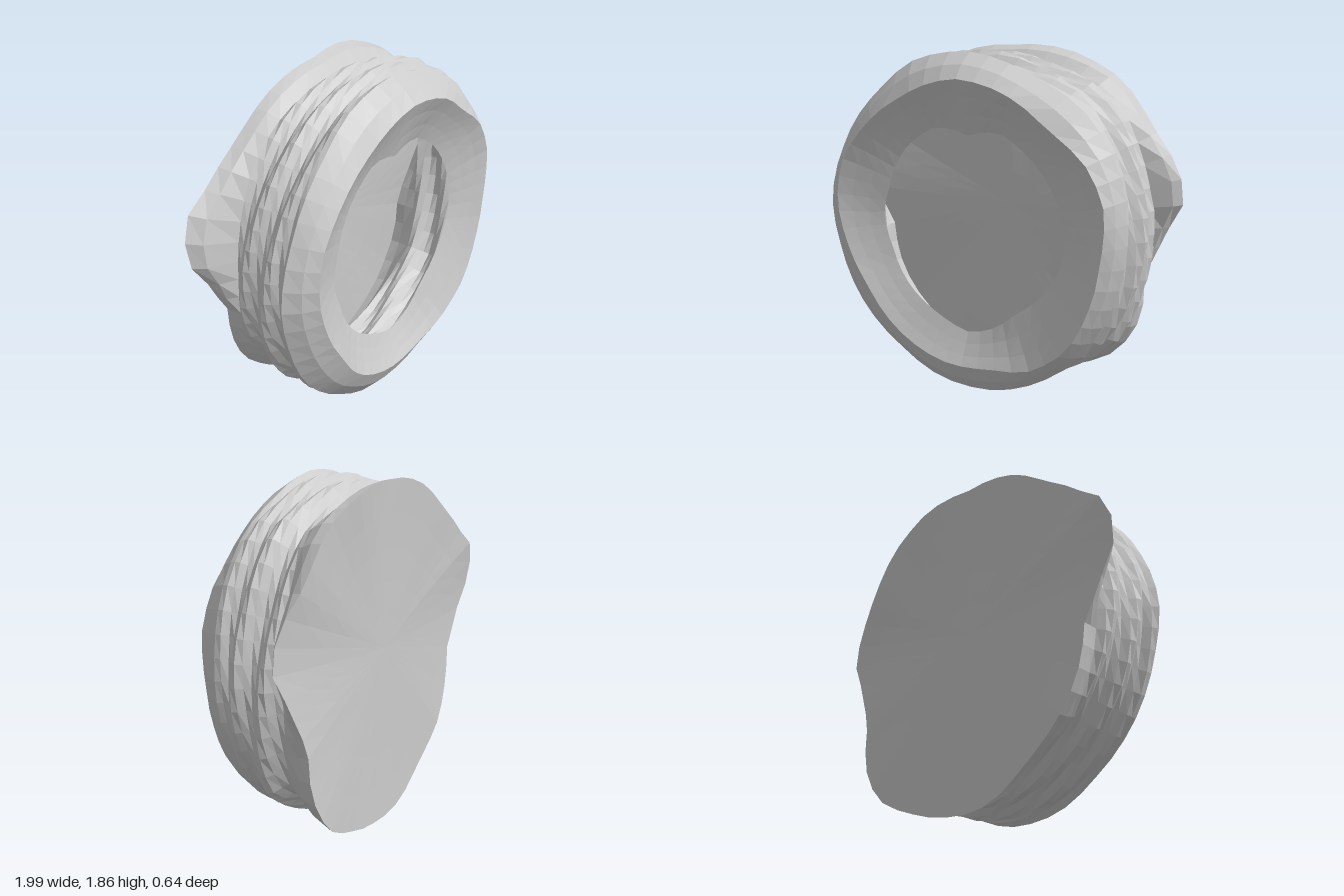
import * as THREE from 'three';

const N = 48;      // points around each loop
const CY = 0.97;   // height of the wheel's axis
const angle = i => i / N * Math.PI * 2;

// Resample a rough outline [x, y, z?] into a loop of N points, evenly spaced by angle
function loop(points, z0) {
  const polar = points.map(([x, y, z = z0]) => ({
    a: (Math.atan2(y - CY, x) + Math.PI * 2) % (Math.PI * 2), r: Math.hypot(x, y - CY), z
  })).sort((p, q) => p.a - q.a);
  const first = polar[0], last = polar[polar.length - 1];
  polar.unshift({ ...last, a: last.a - Math.PI * 2 });
  polar.push({ ...first, a: first.a + Math.PI * 2 });
  return Array.from({ length: N }, (_, i) => {
    const a = angle(i);
    const k = polar.findIndex(p => p.a > a), p = polar[k - 1], q = polar[k];
    const t = (a - p.a) / (q.a - p.a), r = p.r + (q.r - p.r) * t;
    return new THREE.Vector3(r * Math.cos(a), CY + r * Math.sin(a), p.z + (q.z - p.z) * t);
  });
}

// Blend two loops; tz lets the depth blend at its own rate
const blend = (a, b, t, tz = t) => a.map((p, i) => {
  const v = p.clone().lerp(b[i], t);
  v.z = p.z + (b[i].z - p.z) * tz;
  return v;
});

// Skin a row of loops
function skin(name, loops) {
  const pos = [], index = [];
  loops.forEach(l => l.forEach(p => pos.push(p.x, p.y, p.z)));
  for (let j = 0; j < loops.length - 1; j++) {
    for (let i = 0; i < N; i++) {
      const n = (i + 1) % N, a = j * N + i, an = j * N + n, b = a + N, bn = an + N;
      index.push(a, b, an, an, b, bn);
    }
  }
  const g = new THREE.BufferGeometry();
  g.setAttribute('position', new THREE.Float32BufferAttribute(pos, 3));
  g.setIndex(index);
  g.computeVertexNormals();
  const mesh = new THREE.Mesh(g, new THREE.MeshStandardMaterial({
    color: 0xcccccc, flatShading: true, side: THREE.DoubleSide }));
  mesh.name = name;
  return mesh;
}

export function createModel() {
  const group = new THREE.Group();
  group.name = 'wornWheel';

  // Edge of the central opening
  const hole = loop([[-.18, 1.47], [0, 1.44], [.18, 1.47], [.33, 1.38], [.45, 1.25], [.53, 1.09],
    [.55, .87], [.46, .69], [.28, .53], [.12, .41], [0, .38], [-.18, .45], [-.36, .58], [-.47, .79],
    [-.52, .95], [-.48, 1.12], [-.38, 1.33]], 0.21);

  // Front edge of the rim
  const front = loop([[0, 1.74, .32], [.28, 1.68, .32], [.49, 1.53], [.7, 1.37], [.79, 1.2], [.78, .9],
    [.73, .66], [.6, .41], [.39, .26, .29], [.17, .23, .29], [-.13, .22, .29], [-.39, .34, .29],
    [-.58, .58], [-.71, .82], [-.76, 1.03], [-.72, 1.25], [-.58, 1.44], [-.34, 1.62]], 0.305);

  // Front shoulder
  const shoulder = loop([[0, 1.86], [-.35, 1.79], [-.55, 1.63], [-.8, 1.3], [-.89, 1], [-.84, .72],
    [-.72, .45], [-.45, .2], [-.2, .07], [.15, .06], [.45, .19], [.7, .45], [.83, .72], [.87, 1.05],
    [.8, 1.38], [.62, 1.62], [.35, 1.76]], 0.18);

  // Outline of the tread at its ridges
  const ridge = loop([[.15, 1.86], [-.1, 1.85], [-.35, 1.78], [-.6, 1.6], [-.8, 1.3], [-.87, 1],
    [-.85, .75], [-.78, .55], [-.65, .35], [-.42, .18], [-.1, .06], [.2, .07], [.5, .2], [.76, .37],
    [.85, .55], [.92, .82], [.93, 1], [.86, 1.3], [.78, 1.5], [.62, 1.71], [.38, 1.8]], 0.03);

  // Wavy back flange with lobes at both sides and below
  const flange = loop([[1, 1.1, -.24], [.99, 1.22, -.24], [.94, 1.32, -.25], [.8, 1.48, -.29],
    [.63, 1.7, -.3], [.48, 1.78, -.31], [.3, 1.84, -.32], [0, 1.85, -.29], [-.3, 1.8, -.3],
    [-.58, 1.62, -.31], [-.8, 1.46, -.31], [-.94, 1.36, -.32], [-1, 1.22, -.3], [-.98, 1.08, -.28],
    [-.88, .95, -.27], [-.78, .76, -.27], [-.73, .5, -.28], [-.65, .36, -.29], [-.4, .16, -.28],
    [-.22, .04, -.28], [-.08, 0, -.28], [.1, .01, -.28], [.38, .08, -.29], [.63, .2, -.31],
    [.73, .33, -.31], [.78, .45, -.3], [.79, .69, -.29], [.9, .93, -.26]]);

  // Tread with four spiral grooves, narrowing towards the back
  const tread = [];
  for (let k = 0; k <= 12; k++) {
    const z = 0.18 - k * 0.03;
    const depth = 0.06 * Math.min(1, k / 2);
    const narrowing = 1 + Math.min(0, z) * 0.25;
    tread.push(blend(shoulder, ridge, Math.min(1, k / 5)).map((p, i) => {
      const groove = 0.5 + 0.5 * Math.cos(4 * (angle(i) + 10 * (z - 0.13)));
      const s = narrowing - depth * groove;
      return new THREE.Vector3(p.x * s, CY + (p.y - CY) * s, z);
    }));
  }
  const neck = tread[tread.length - 1];

  group.add(skin('frontFunnel', [hole, blend(hole, front, 0.35, 0.3), blend(hole, front, 0.7, 0.65), front]));
  group.add(skin('frontRim', [front, blend(front, shoulder, 0.55, 0.42), shoulder]));
  group.add(skin('tread', tread));
  group.add(skin('backFlange', [neck, blend(neck, flange, 0.75, 0.5), flange]));

  // Back disc, flattening towards the middle; also the floor of the opening
  const centre = flange.map(() => new THREE.Vector3(0, CY, -0.27));
  const disc = [1, 0.8, 0.6, 0.4, 0.2, 0].map(t => blend(centre, flange, t, t * t));
  group.add(skin('backDisc', disc));
  return group;
}
